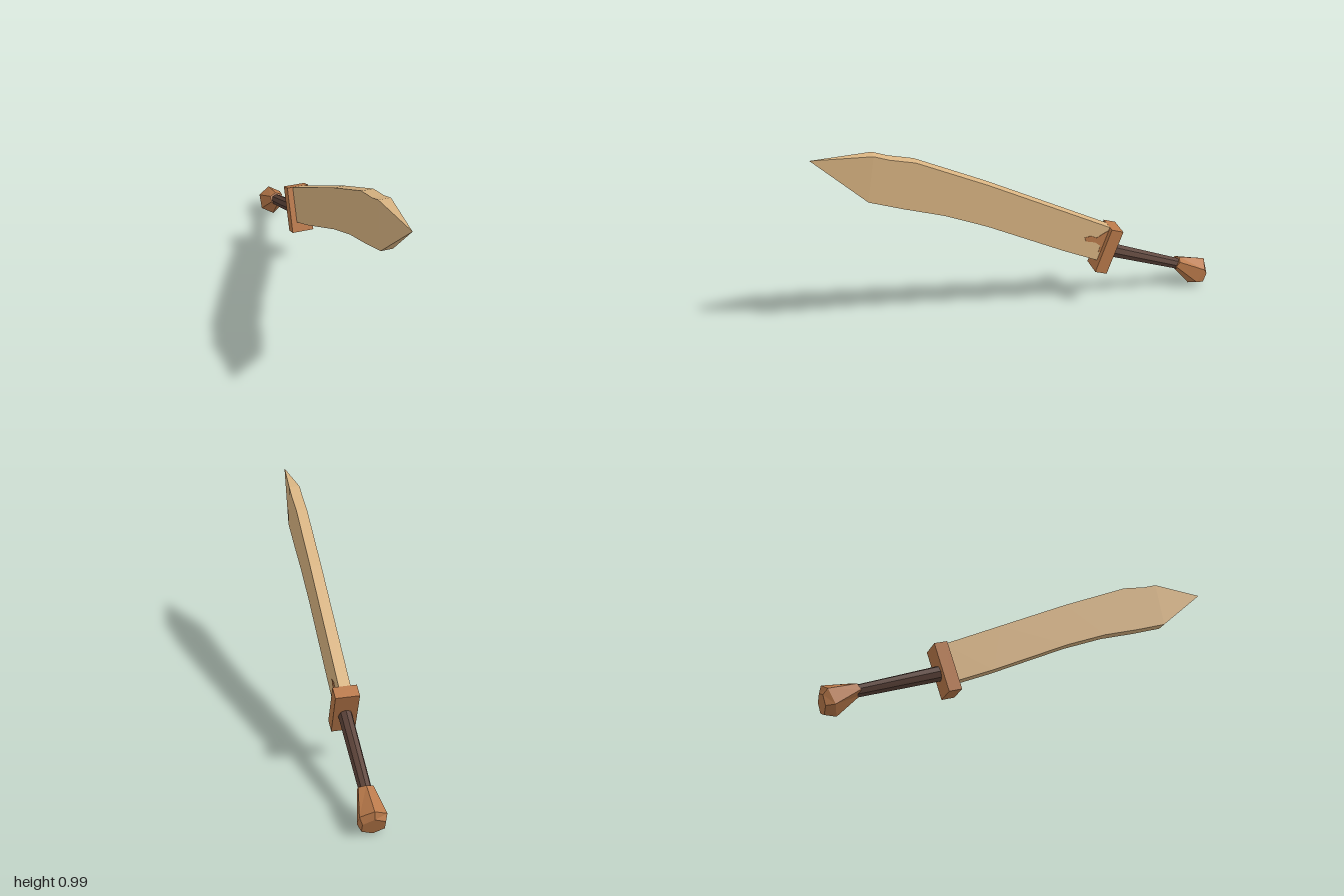
import * as THREE from 'three';

const material = (name, color) => {
  const m = new THREE.MeshStandardMaterial({ color, flatShading: true });
  m.name = name;
  return m;
};

// Closed skin through cross-sections, listed from back (-z) to front (+z)
function loft(rings) {
  const pos = [], n = rings[0].length;
  const tri = (a, b, c) => pos.push(...a, ...b, ...c);
  for (let r = 0; r < rings.length - 1; r++) {
    for (let i = 0; i < n; i++) {
      const j = (i + 1) % n, p = rings[r], q = rings[r + 1];
      tri(p[i], p[j], q[j]);
      tri(p[i], q[j], q[i]);
    }
  }
  const first = rings[0], last = rings[rings.length - 1];
  for (let i = 1; i < n - 1; i++) {
    tri(first[0], first[i + 1], first[i]);
    tri(last[0], last[i], last[i + 1]);
  }
  const g = new THREE.BufferGeometry();
  g.setAttribute('position', new THREE.Float32BufferAttribute(pos, 3));
  g.computeVertexNormals();
  return g;
}

// Polygon section spanning a top and a bottom point, each given as z, y
function polygonRing(tz, ty, bz, by, halfWidth, sides) {
  const maxCos = Math.cos(Math.PI / 2 - Math.round(sides / 4) * 2 * Math.PI / sides);
  return Array.from({ length: sides }, (_, i) => {
    const a = Math.PI / 2 + i * 2 * Math.PI / sides, t = (1 - Math.sin(a)) / 2;
    return [halfWidth * Math.cos(a) / maxCos, ty + (by - ty) * t, tz + (bz - tz) * t];
  });
}

// Rectangular section between a top and a bottom edge
const slabRing = (tz, ty, bz, by, w) =>
  [[w, by, bz], [w, ty, tz], [-w, ty, tz], [-w, by, bz]];

export function createModel() {
  const group = new THREE.Group();
  const sand = material('sand blade', 0xd9b482);
  const copper = material('copper brown', 0xb9794a);
  const dark = material('dark grip', 0x5c4339);
  const add = (name, geometry, mat) => {
    const mesh = new THREE.Mesh(geometry, mat);
    mesh.name = name;
    group.add(mesh);
    return mesh;
  };

  // Curved, flat-edged blade narrowing to a point
  const w = 0.028;
  add('blade', loft([
    slabRing(-0.445, 0.428, -0.385, 0.247, w),
    slabRing(-0.16, 0.578, -0.19, 0.34, w),
    slabRing(0.19, 0.762, 0.2, 0.542, w),
    slabRing(0.53, 0.927, 0.41, 0.635, w),
    slabRing(0.65, 0.958, 0.6, 0.7, w),
    slabRing(0.72, 0.985, 0.76, 0.76, w),
    slabRing(1, 0.991, 1, 0.989, 0.0005),
  ]), sand);

  // Brown stain beside the guard
  const stain = new THREE.Shape([
    [0.303, 0.396], [0.335, 0.401], [0.367, 0.385], [0.415, 0.41], [0.44, 0.42],
    [0.41, 0.3], [0.378, 0.3], [0.388, 0.335], [0.36, 0.36], [0.31, 0.374],
  ].map(([z, y]) => new THREE.Vector2(z, y)));
  const plate = add('bladeStain', new THREE.ExtrudeGeometry(stain, { depth: 0.003, bevelEnabled: false }), copper);
  plate.rotation.y = Math.PI / 2;
  plate.position.x = w - 0.001;

  // Tilted cross guard
  const guard = add('guard', new THREE.BoxGeometry(0.115, 0.244, 0.066), copper);
  guard.position.set(0, 0.307, -0.427);
  guard.rotation.x = -0.34;

  // Eight-sided grip
  add('grip', loft([
    polygonRing(-0.87, 0.155, -0.835, 0.105, 0.03, 8),
    polygonRing(-0.435, 0.335, -0.41, 0.262, 0.034, 8),
  ]), dark);

  // Faceted pommel
  add('pommel', loft([
    polygonRing(-1, 0.1, -0.968, 0.003, 0.052, 6),
    polygonRing(-0.995, 0.139, -0.914, 0.003, 0.062, 6),
    polygonRing(-0.85, 0.173, -0.812, 0.123, 0.034, 6),
  ]), copper);

  return group;
}
